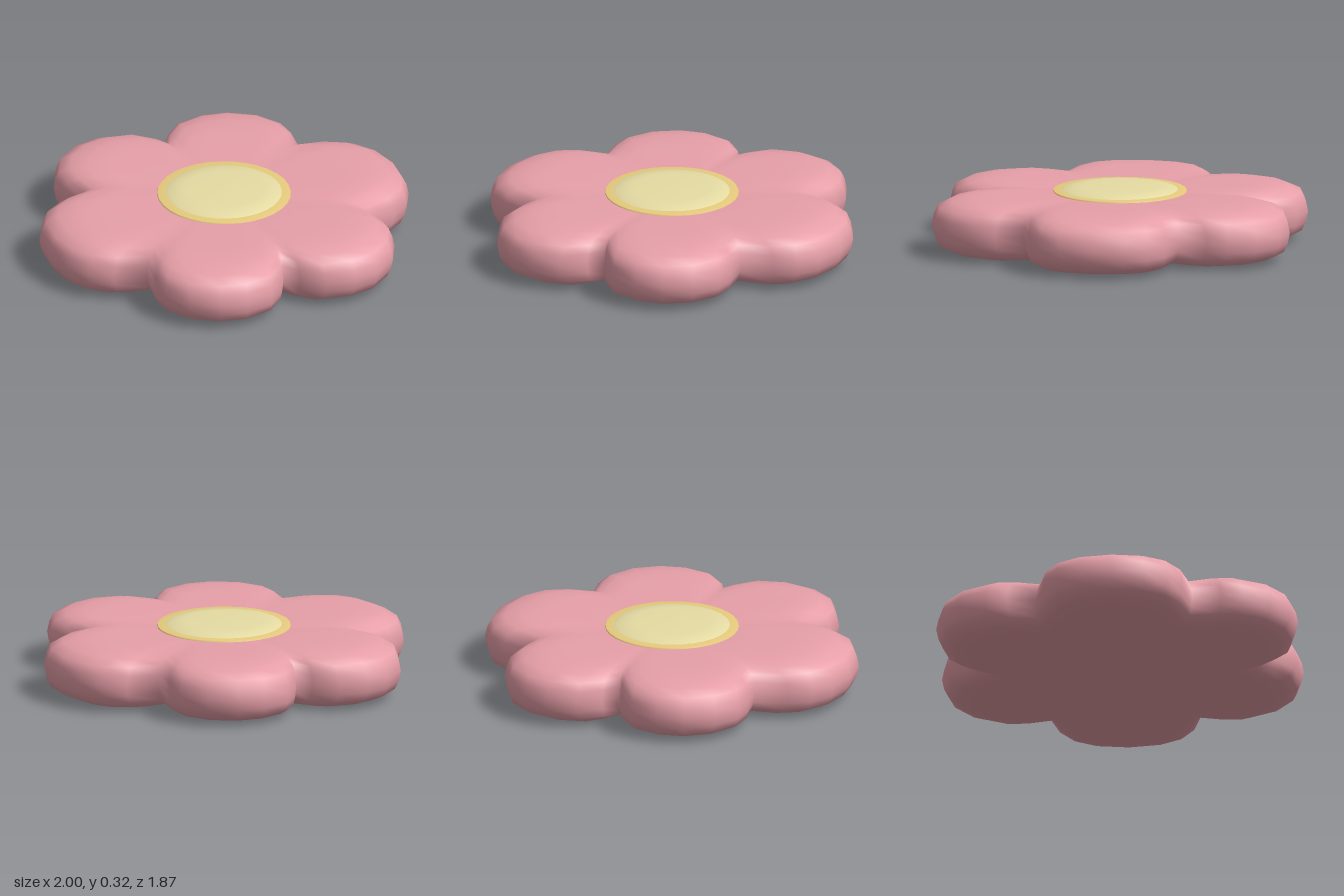
import * as THREE from 'three';

const pink = new THREE.MeshStandardMaterial({ color: 0xe8a0a9 });
pink.name = 'petalPink';
const gold = new THREE.MeshStandardMaterial({ color: 0xe8cd7e });
gold.name = 'ringGold';
const cream = new THREE.MeshStandardMaterial({ color: 0xe6dca4 });
cream.name = 'centreCream';

// One quarter of the six-petal outline, as x, z
const QUARTER = [
  [1, 0], [0.975, 0.17], [0.91, 0.285], [0.8, 0.36], [0.635, 0.405],
  [0.66, 0.555], [0.655, 0.67], [0.58, 0.81], [0.45, 0.905], [0.31, 0.935],
  [0.155, 0.905], [0.05, 0.81], [0, 0.72],
];

// Mirror the quarter into a closed loop
function outline() {
  const half = [...QUARTER, ...QUARTER.slice(0, -1).reverse().map(([x, z]) => [-x, z])];
  return [...half, ...half.slice(1, -1).reverse().map(([x, z]) => [x, -z])];
}

// Puffy body: the outline scaled into rings from top centre, over the rim, to bottom centre
function petalGeometry() {
  const MID = 0.155;
  const top = [ // scale, half height
    [0.001, 0.13], [0.35, 0.137], [0.65, 0.149], [0.8, 0.146],
    [0.9, 0.13], [0.965, 0.1], [0.988, 0.055], [1, 0],
  ];
  const rings = [...top, ...top.slice(0, -1).reverse().map(([s, h]) => [s, -h])];
  const loop = outline();
  const n = loop.length;
  const pos = [];
  const idx = [];
  for (const [s, h] of rings) {
    for (const [x, z] of loop) {
      // slightly lower between the petals
      const dip = 0.92 + 0.08 * THREE.MathUtils.smoothstep(Math.hypot(x, z), 0.72, 1);
      const k = THREE.MathUtils.lerp(1, dip, THREE.MathUtils.smoothstep(s, 0.2, 0.65));
      pos.push(x * s, MID + h * k, z * s);
    }
  }
  for (let i = 0; i < rings.length - 1; i++) {
    for (let j = 0; j < n; j++) {
      const a = i * n + j;
      const c = i * n + (j + 1) % n;
      idx.push(a, c, a + n, c, c + n, a + n);
    }
  }
  const g = new THREE.BufferGeometry();
  g.setAttribute('position', new THREE.Float32BufferAttribute(pos, 3));
  g.setIndex(idx);
  g.computeVertexNormals();
  return g;
}

// Turned part from radius, height pairs listed from the bottom up
function turned(points, segments) {
  return new THREE.LatheGeometry(points.map(([r, y]) => new THREE.Vector2(r, y)), segments);
}

export function createModel() {
  const group = new THREE.Group();
  group.name = 'flower';
  const add = (name, geometry, material) => {
    const mesh = new THREE.Mesh(geometry, material);
    mesh.name = name;
    group.add(mesh);
  };

  add('petals', petalGeometry(), pink);
  // Flat ring around the centre
  add('centreRing', turned([[0.346, 0.293], [0.343, 0.301], [0.28, 0.302]], 32), gold);
  // Low dome in the middle
  add('centreDome', turned([[0.305, 0.299], [0.29, 0.306], [0.25, 0.314], [0.2, 0.32], [0, 0.322]], 32), cream);
  return group;
}
